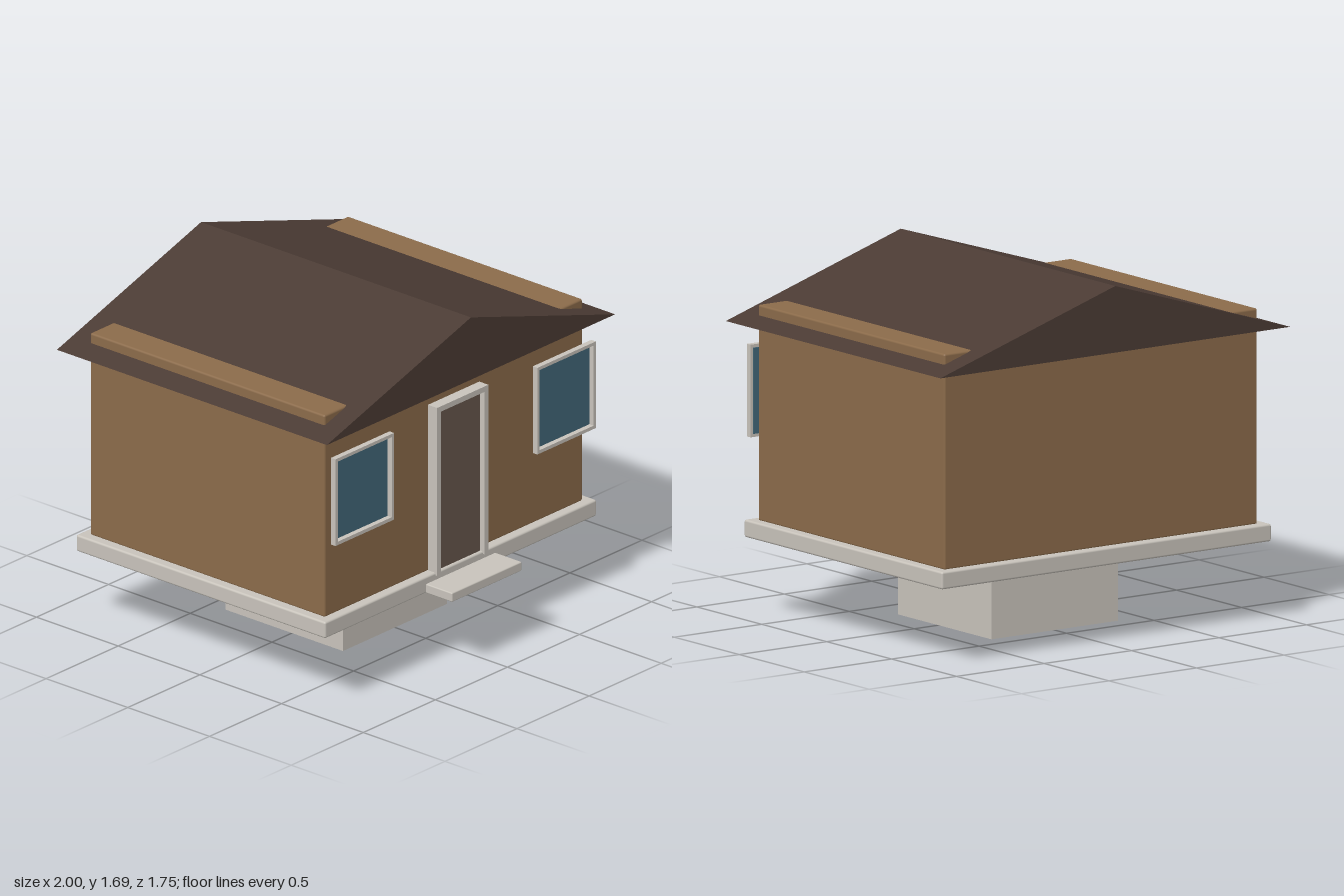
import * as THREE from 'three';
import { RoundedBoxGeometry } from 'three/addons/geometries/RoundedBoxGeometry.js';

const material = (name, color) => {
  const m = new THREE.MeshStandardMaterial({ color });
  m.name = name;
  return m;
};

export function createModel() {
  const house = new THREE.Group();
  house.name = 'house';

  const wallBrown = material('wallBrown', 0x8b6b4a);
  const roofBrown = material('roofBrown', 0x4b3b34);
  const trim = material('paleTrim', 0xc8c3bb);
  const glass = material('windowBlue', 0x426879);
  const doorBrown = material('doorBrown', 0x67574d);

  const add = (name, geometry, mat, x = 0, y = 0, z = 0) => {
    const mesh = new THREE.Mesh(geometry, mat);
    mesh.name = name;
    mesh.position.set(x, y, z);
    house.add(mesh);
    return mesh;
  };

  // Box given by its limits on each axis, with an optional softened edge
  const box = (name, mat, [x0, x1], [y0, y1], [z0, z1], radius = 0) => {
    const size = [x1 - x0, y1 - y0, z1 - z0];
    const geometry = radius
      ? new RoundedBoxGeometry(...size, 2, radius)
      : new THREE.BoxGeometry(...size);
    return add(name, geometry, mat, (x0 + x1) / 2, (y0 + y1) / 2, (z0 + z1) / 2);
  };

  const rectangle = (Type, x0, x1, y0, y1) => new Type([
    new THREE.Vector2(x0, y0), new THREE.Vector2(x1, y0),
    new THREE.Vector2(x1, y1), new THREE.Vector2(x0, y1),
  ]);
  const extrude = (shape, depth) =>
    new THREE.ExtrudeGeometry(shape, { depth, bevelEnabled: false });

  // Foundation, floor slab and front step
  box('foundation', trim, [-0.361, 0.361], [0, 0.37], [-0.408, 0.312]);
  box('floorSlab', trim, [-0.942, 0.942], [0.367, 0.449], [-0.81, 0.716], 0.01);
  box('frontStep', trim, [-0.242, 0.242], [0.367, 0.413], [0.62, 0.875], 0.006);

  // Walls, whose upper edges rise through the roof slopes
  box('walls', wallBrown, [-0.895, 0.895], [0.445, 1.457], [-0.765, 0.671], 0.01);

  // Gable roof
  const gable = new THREE.Shape([
    new THREE.Vector2(-1, 1.375), new THREE.Vector2(1, 1.375), new THREE.Vector2(0, 1.687),
  ]);
  add('roof', extrude(gable, 1.652), roofBrown, 0, 0, -0.875);

  // Door and its three-sided surround
  box('door', doorBrown, [-0.149, 0.149], [0.449, 1.248], [0.66, 0.702]);
  const surround = new THREE.Shape([
    [-0.178, 0.436], [-0.151, 0.436], [-0.151, 1.25], [0.151, 1.25],
    [0.151, 0.436], [0.178, 0.436], [0.178, 1.277], [-0.178, 1.277],
  ].map(([x, y]) => new THREE.Vector2(x, y)));
  add('doorSurround', extrude(surround, 0.062), trim, 0, 0, 0.665);

  // Windows standing just proud of the front wall
  for (const [side, s] of [['left', 1], ['right', -1]]) {
    const x = s * 0.7;
    const frame = rectangle(THREE.Shape, -0.203, 0.203, 0.828, 1.262);
    frame.holes.push(rectangle(THREE.Path, -0.187, 0.187, 0.845, 1.246));
    add(side + 'WindowFrame', extrude(frame, 0.028), trim, x, 0, 0.717);
    box(side + 'WindowPane', glass, [x - 0.19, x + 0.19], [0.844, 1.247], [0.71, 0.719]);
  }

  return house;
}
